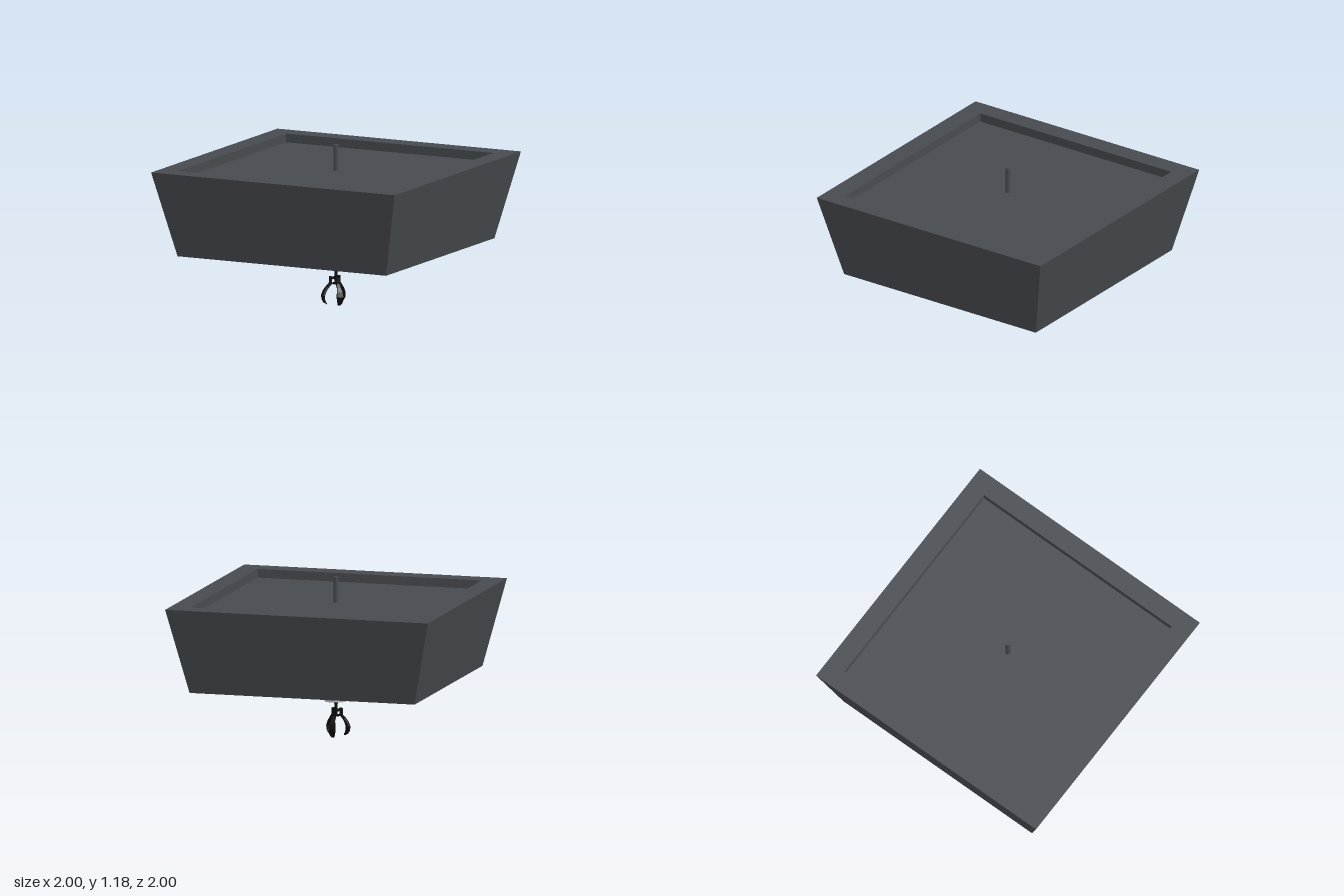
import * as THREE from 'three';

export function createModel() {
  const group = new THREE.Group();
  const mat = (name, color) => {
    const m = new THREE.MeshStandardMaterial({ color });
    m.name = name;
    return m;
  };
  const charcoal = mat('charcoal', 0x474b4f);
  const silver = mat('silver', 0xbdbdbd);
  const black = mat('black', 0x0a0a0a);

  const add = (name, geometry, material, x = 0, y = 0, z = 0, parent = group) => {
    const mesh = new THREE.Mesh(geometry, material);
    mesh.name = name;
    mesh.position.set(x, y, z);
    parent.add(mesh);
    return mesh;
  };
  const flat = (geometry) => {
    const g = geometry.toNonIndexed();
    g.computeVertexNormals();
    return g;
  };

  // Square tapered hood: straight-walled cavity below, shallow recess on top
  const profile = [
    [0, 0.95], [0.707, 0.95], [0.707, 0.418], [0.857, 0.418],
    [1, 1.05], [0.853, 1.05], [0.853, 0.985], [0, 0.985],
  ].map(([r, y]) => new THREE.Vector2(r * Math.SQRT2, y));
  const hood = new THREE.LatheGeometry(profile, 4);
  hood.rotateY(Math.PI / 4);
  add('hood', flat(hood), charcoal);

  // Vertical shaft through the hood
  add('shaft', new THREE.CylinderGeometry(0.019, 0.019, 0.7, 16), charcoal, 0, 0.83, 0);

  // Side rails with their sliding blocks
  for (const z of [-0.4, 0.4]) {
    const rail = new THREE.CylinderGeometry(0.054, 0.054, 1.412, 24);
    rail.rotateZ(Math.PI / 2);
    add('sideRail', rail, silver, 0, 0.59, z);
    add('slidingBlock', new THREE.BoxGeometry(0.23, 0.26, 0.2), charcoal, 0, 0.53, z);
  }

  // Thin cross rods between the blocks
  for (const x of [-0.06, 0.06]) {
    for (const y of [0.495, 0.56]) {
      const rod = new THREE.CylinderGeometry(0.017, 0.017, 0.62, 12);
      rod.rotateX(Math.PI / 2);
      add('crossRod', rod, silver, x, y, 0);
    }
  }

  // Carriage and the bell-shaped housing below it
  add('carriage', new THREE.BoxGeometry(0.17, 0.08, 0.15), silver, 0, 0.48, 0);
  const bell = [
    [0, 0.26], [0.085, 0.26], [0.085, 0.315], [0.062, 0.39],
    [0.075, 0.415], [0.075, 0.445], [0, 0.445],
  ].map(([r, y]) => new THREE.Vector2(r, y));
  add('housing', flat(new THREE.LatheGeometry(bell, 24)), silver);

  // Claw stem and hub
  const claw = new THREE.Group();
  claw.name = 'claw';
  group.add(claw);
  add('stem', new THREE.CylinderGeometry(0.011, 0.011, 0.12, 12), black, 0, 0.22, 0, claw);
  add('stemCollar', new THREE.CylinderGeometry(0.02, 0.014, 0.018, 16), black, 0, 0.25, 0, claw);
  add('hub', new THREE.CylinderGeometry(0.025, 0.025, 0.016, 16), black, 0, 0.192, 0, claw);
  add('lowerHub', new THREE.CylinderGeometry(0.022, 0.022, 0.012, 16), black, 0, 0.152, 0, claw);

  // Curved finger: [outer radius, outer y, inner radius, inner y, half width]
  const sections = [
    [0.05, 0.204, 0.034, 0.204, 0.011],
    [0.052, 0.155, 0.036, 0.146, 0.011],
    [0.074, 0.132, 0.06, 0.121, 0.012],
    [0.096, 0.1, 0.079, 0.093, 0.019],
    [0.107, 0.065, 0.091, 0.065, 0.024],
    [0.104, 0.035, 0.09, 0.038, 0.022],
    [0.094, 0.013, 0.083, 0.02, 0.016],
    [0.073, 0, 0.071, 0.008, 0.01],
  ];
  const positions = [];
  const indices = [];
  sections.forEach(([ro, yo, ri, yi, w], i) => {
    positions.push(-w, yo, ro, w, yo, ro, w, yi, ri, -w, yi, ri);
    if (i === 0) return;
    const a = (i - 1) * 4, b = i * 4;
    for (let k = 0; k < 4; k++) {
      const n = (k + 1) % 4;
      indices.push(a + k, b + k, b + n, a + k, b + n, a + n);
    }
  });
  const end = (sections.length - 1) * 4;
  indices.push(0, 1, 2, 0, 2, 3, end, end + 2, end + 1, end, end + 3, end + 2);
  let finger = new THREE.BufferGeometry();
  finger.setAttribute('position', new THREE.Float32BufferAttribute(positions, 3));
  finger.setIndex(indices);
  finger = flat(finger);

  // Three fingers: one straight back, two angled to the front
  for (const angle of [Math.PI, Math.PI / 4, -Math.PI / 4]) {
    const arm = new THREE.Group();
    arm.name = 'clawArm';
    arm.rotation.y = angle;
    claw.add(arm);
    add('finger', finger, black, 0, 0, 0, arm);
    add('upperSpoke', new THREE.BoxGeometry(0.02, 0.016, 0.04), black, 0, 0.192, 0.024, arm);
    add('lowerSpoke', new THREE.BoxGeometry(0.014, 0.01, 0.04), black, 0, 0.152, 0.022, arm);
  }

  return group;
}
